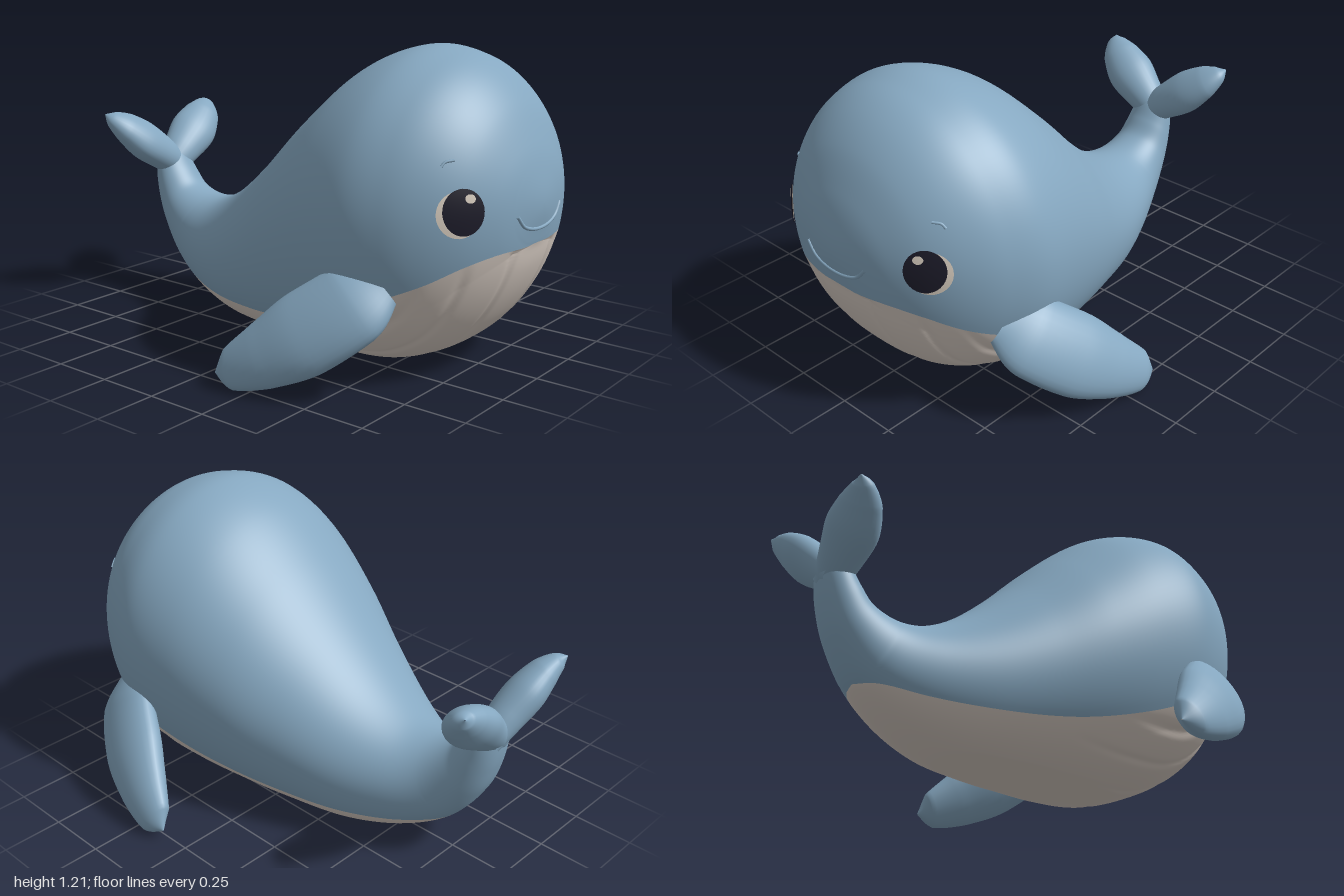
import * as THREE from 'three';
import { mergeVertices } from 'three/addons/utils/BufferGeometryUtils.js';

const V = (x, y, z) => new THREE.Vector3(x, y, z);
const clamp = THREE.MathUtils.clamp;

// Body cross-sections, nose to tail: top z, top y, bottom z, bottom y, half width, belly edge y.
// The first row only mirrors the third so the nose closes smoothly.
const SECTIONS = [
  [0.985, 0.56, 0.985, 0.78, -0.13, 0.515],
  [1.0, 0.671, 1.0, 0.669, 0, 0.515],
  [0.985, 0.78, 0.985, 0.56, 0.13, 0.515],
  [0.95, 0.89, 0.95, 0.42, 0.25, 0.517],
  [0.88, 1.025, 0.88, 0.28, 0.373, 0.485],
  [0.78, 1.13, 0.78, 0.15, 0.474, 0.425],
  [0.66, 1.19, 0.66, 0.06, 0.545, 0.37],
  [0.5, 1.207, 0.5, 0, 0.587, 0.3],
  [0.3, 1.13, 0.3, -0.02, 0.56, 0.22],
  [0.08, 0.95, 0.08, -0.02, 0.495, 0.16],
  [-0.14, 0.74, -0.12, -0.02, 0.41, 0.13],
  [-0.34, 0.575, -0.36, -0.005, 0.32, 0.12],
  [-0.5, 0.485, -0.58, 0.06, 0.235, 0.135],
  [-0.62, 0.465, -0.76, 0.17, 0.165, 0.175],
  [-0.73, 0.495, -0.87, 0.32, 0.125, 0.2],
  [-0.79, 0.56, -0.92, 0.45, 0.105, 0.2],
  [-0.83, 0.62, -0.94, 0.565, 0.085, 0.2],
  [-0.86, 0.65, -0.935, 0.63, 0.05, 0.2],
  [-0.89, 0.66, -0.92, 0.65, 0.002, 0.2],
];
const SPAN = SECTIONS.length - 2;
const FULLNESS = 0.8; // below 1 makes the lower half of each section fuller than an ellipse

// Smoothly interpolated cross-section at u, 0 (nose) to SPAN (tail)
function section(u) {
  const i = Math.min(Math.floor(u), SPAN - 1), t = u - i;
  const [a, b, c, d] = [0, 1, 2, 3].map(k => SECTIONS[Math.min(i + k, SPAN + 1)]);
  return b.map((p, k) => p + 0.5 * t * (c[k] - a[k]
    + t * (2 * a[k] - 5 * p + 4 * c[k] - d[k] + t * (3 * (p - c[k]) + d[k] - a[k]))));
}

// Skin a list of point rows
function loft(rows, flip = false) {
  const n = rows[0].length, index = [];
  for (let i = 0; i < rows.length - 1; i++) {
    for (let j = 0; j < n - 1; j++) {
      const a = i * n + j, b = a + 1, c = a + n, d = c + 1;
      if (flip) index.push(a, b, c, b, d, c);
      else index.push(a, c, b, b, c, d);
    }
  }
  const g = new THREE.BufferGeometry().setFromPoints(rows.flat());
  g.setIndex(index);
  const merged = mergeVertices(g, 1e-5);
  merged.computeVertexNormals();
  return merged;
}

// Upper skin or pleated belly, sharing one edge
function bodyGeometry(isBelly) {
  const rows = [], rings = SPAN * 10, cols = isBelly ? 120 : 80;
  for (let i = 0; i <= rings; i++) {
    const [zT, yT, zB, yB, w, edge] = section(i / 10);
    const theta = Math.asin(clamp(2 * (edge - yB) / (yT - yB) - 1, -1, 1));
    const from = isBelly ? -Math.PI - theta : theta;
    const to = isBelly ? theta : Math.PI - theta;
    const row = [];
    for (let j = 0; j <= cols; j++) {
      const a = from + (to - from) * j / cols;
      const s = Math.sin(a), c = Math.cos(a);
      const x = w * Math.sign(c) * Math.abs(c) ** (s < 0 ? FULLNESS : 1);
      const p = V(x, (yT + yB) / 2 + s * (yT - yB) / 2, (zT + zB) / 2 + s * (zT - zB) / 2);
      if (isBelly) {
        // Pleats and a slight step under the lip, pressed towards the middle of the head
        const step = Math.min(1, 10 * Math.min(j, cols - j) / cols) * Math.min(1, to - from);
        let groove = 0;
        for (const gx of [0.14, 0.33, 0.45]) groove += Math.exp(-(((Math.abs(p.x) - gx) / 0.015) ** 2));
        p.lerp(V(0, 0.6, Math.min(p.z, 0.45)), step * clamp(p.z * 3, 0, 1) * (0.006 + 0.014 * groove));
      }
      p.y = Math.max(0, p.y);
      row.push(p);
    }
    rows.push(row);
  }
  return loft(rows);
}

// Depth of the face surface at x, y
function faceZ(x, y) {
  let lo = 0, hi = 6;
  for (let k = 0; k < 30; k++) {
    const u = (lo + hi) / 2, [, yT, , yB, w] = section(u);
    const s = (2 * y - yT - yB) / (yT - yB);
    const c = (Math.abs(x) / w) ** (s < 0 ? 1 / FULLNESS : 1);
    if (c * c + s * s < 1) hi = u; else lo = u;
  }
  return section(hi)[0];
}

// Oval plate that follows the face
function facePlate(cx, cy, rx, ry, lift) {
  const rows = [];
  for (let i = 0; i <= 8; i++) {
    const row = [];
    for (let j = 0; j <= 32; j++) {
      const a = j / 32 * Math.PI * 2, r = i / 8;
      const x = cx + rx * r * Math.cos(a), y = cy + ry * r * Math.sin(a);
      row.push(V(x, y, faceZ(x, y) + lift));
    }
    rows.push(row);
  }
  return loft(rows);
}

// Raised line that follows the face
function faceLine(points, radius) {
  const flat = new THREE.CatmullRomCurve3(points.map(([x, y]) => V(x, y, 0)));
  const path = flat.getPoints(24).map(p => V(p.x, p.y, faceZ(p.x, p.y)));
  return new THREE.TubeGeometry(new THREE.CatmullRomCurve3(path), 40, radius, 8);
}

// Rounded leaf along a spine; stations are x, y, z, half width, half thickness
function leaf(stations, chord, side) {
  const spine = new THREE.CatmullRomCurve3(stations.map(s => V(s[0] * side, s[1], s[2])));
  const wide = new THREE.CatmullRomCurve3(stations.map(s => V(s[3], s[4], 0)));
  const rows = [], steps = 40;
  for (let i = 0; i <= steps; i++) {
    const f = i / steps, c = spine.getPoint(f), t = spine.getTangent(f), size = wide.getPoint(f);
    const u = V(chord[0] * side, chord[1], chord[2]);
    u.addScaledVector(t, -u.dot(t)).normalize();
    const v = t.clone().cross(u), row = [];
    for (let j = 0; j <= 28; j++) {
      const a = j / 28 * Math.PI * 2;
      const p = c.clone().addScaledVector(u, Math.cos(a) * size.x).addScaledVector(v, Math.sin(a) * size.y);
      p.y = Math.max(0, p.y);
      row.push(p);
    }
    rows.push(row);
  }
  return loft(rows, true);
}

const FIN = [
  [0.48, 0.415, 0.62, 0.10, 0.04], [0.56, 0.345, 0.56, 0.155, 0.068], [0.65, 0.235, 0.425, 0.16, 0.08],
  [0.72, 0.135, 0.28, 0.125, 0.07], [0.763, 0.07, 0.16, 0.08, 0.045], [0.775, 0.045, 0.1, 0.002, 0.002],
];
const FLUKE = [
  [-0.03, 0.56, -0.885, 0.06, 0.055], [0.06, 0.63, -0.895, 0.085, 0.07], [0.155, 0.7, -0.912, 0.104, 0.075],
  [0.24, 0.768, -0.935, 0.082, 0.058], [0.288, 0.808, -0.963, 0.043, 0.033], [0.308, 0.828, -0.985, 0.002, 0.002],
];

export function createModel() {
  const model = new THREE.Group();
  model.name = 'whale';
  const material = (name, color) => Object.assign(new THREE.MeshStandardMaterial({ color }), { name });
  const skin = material('blue skin', 0x86a8c1);
  const cream = material('belly cream', 0xdacfc6);
  const dark = material('eye dark', 0x1d1c2a);
  const white = material('eye white', 0xded3c5);
  const add = (name, geometry, mat) => {
    const mesh = new THREE.Mesh(geometry, mat);
    mesh.name = name;
    model.add(mesh);
  };

  // Body and mouth
  add('body', bodyGeometry(false), skin);
  add('belly', bodyGeometry(true), cream);
  add('smile', faceLine([[-0.155, 0.645], [-0.11, 0.6], [0, 0.578], [0.11, 0.6], [0.155, 0.645]], 0.007), skin);

  // Paired parts
  for (const side of [1, -1]) {
    const label = side > 0 ? 'left' : 'right';
    add(label + 'Fin', leaf(FIN, [-0.15, 0.42, -0.37], side), skin);
    add(label + 'Fluke', leaf(FLUKE, [-0.45, 0.45, -0.65], side), skin);
    add(label + 'EyeWhite', facePlate(side * 0.375, 0.679, 0.065, 0.083, 0.005), white);
    add(label + 'Pupil', facePlate(side * 0.365, 0.688, 0.062, 0.083, 0.01), dark);
    add(label + 'EyeHighlight', facePlate(side * 0.35, 0.736, 0.016, 0.016, 0.015), white);
    add(label + 'Brow', faceLine([[side * 0.4, 0.843], [side * 0.385, 0.858], [side * 0.36, 0.863]], 0.005), skin);
  }
  return model;
}
